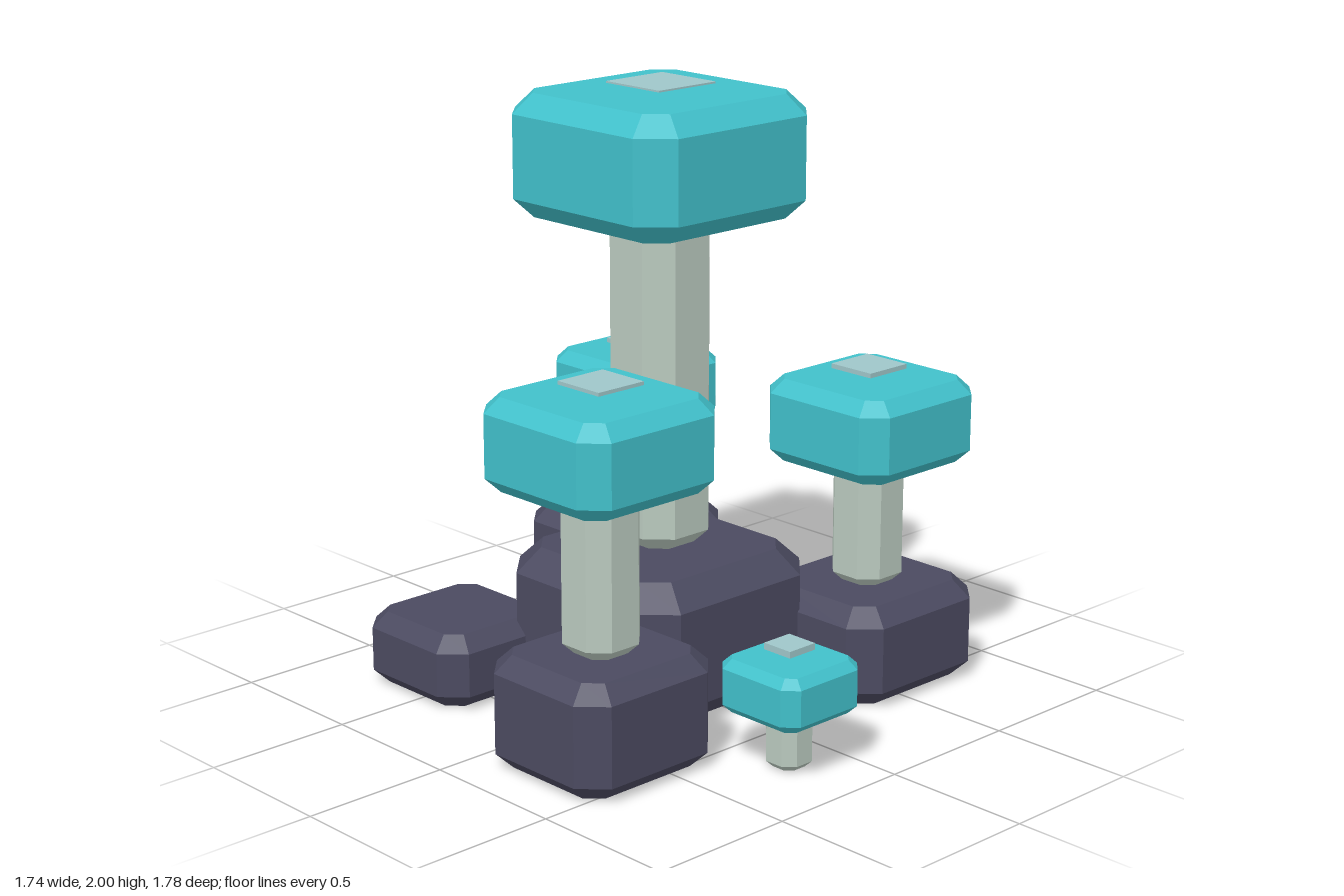
import * as THREE from 'three';

const material = (name, color) => {
  const m = new THREE.MeshStandardMaterial({ color });
  m.name = name;
  return m;
};

// Block with cut upright corners and bevelled top and bottom, standing on y = 0
function chamferedBlock(w, h, d, cut, bevel) {
  const x = w / 2, z = d / 2;
  const outline = new THREE.Shape([
    [x, -z + cut], [x, z - cut], [x - cut, z], [-x + cut, z],
    [-x, z - cut], [-x, -z + cut], [-x + cut, -z], [x - cut, -z],
  ].map(([a, b]) => new THREE.Vector2(a, b)));
  const geometry = new THREE.ExtrudeGeometry(outline, {
    depth: h - 2 * bevel, bevelEnabled: true, bevelSegments: 1,
    bevelThickness: bevel, bevelSize: bevel, bevelOffset: -bevel,
  });
  geometry.translate(0, 0, bevel);
  geometry.rotateX(-Math.PI / 2);
  return geometry;
}

export function createModel() {
  const model = new THREE.Group();
  model.name = 'mushroomCluster';
  const rock = material('slate', 0x4b4a60);
  const stalk = material('paleSage', 0xb9c9be);
  const teal = material('teal', 0x41c0ca);
  const pale = material('paleTeal', 0x9fc6c9);

  const add = (parent, name, geometry, mat, x, y, z) => {
    const mesh = new THREE.Mesh(geometry, mat);
    mesh.name = name;
    mesh.position.set(x, y, z);
    parent.add(mesh);
  };

  // Ground rocks: centre x, z, then width, height, depth
  const rocks = [
    ['centreRock', 0.005, -0.07, 0.785, 0.49, 0.78],
    ['leftRock', 0.567, 0.345, 0.60, 0.34, 0.56],
    ['rightRock', -0.593, 0.305, 0.566, 0.376, 0.53],
    ['backLeftRock', 0.38, -0.634, 0.56, 0.414, 0.52],
    ['backRightRock', -0.463, -0.54, 0.487, 0.25, 0.487],
  ];
  for (const [name, x, z, w, h, d] of rocks) {
    const s = Math.min(w, d);
    add(model, name, chamferedBlock(w, h, d, s * 0.155, s * 0.103), rock, x, 0, z);
  }

  // Mushrooms: centre x, z, stem foot, stem width, cap bottom, cap top, cap width, spot top
  const mushrooms = [
    ['tallMushroom', 0.043, -0.103, 0.49, 0.302, 1.59, 1.994, 0.76, 2.0],
    ['rightMushroom', -0.595, 0.305, 0.376, 0.224, 0.899, 1.2, 0.564, 1.212],
    ['leftMushroom', 0.569, 0.349, 0.336, 0.215, 0.756, 1.038, 0.535, 1.054],
    ['backMushroom', 0.423, -0.627, 0.41, 0.18, 0.727, 0.968, 0.452, 0.984],
    ['smallMushroom', -0.182, 0.719, 0, 0.135, 0.182, 0.359, 0.339, 0.381],
  ];
  for (const [name, x, z, foot, stemW, capY, capTop, capW, spotTop] of mushrooms) {
    const group = new THREE.Group();
    group.name = name;
    group.position.set(x, 0, z);
    model.add(group);
    // The stem tip sinks slightly into the cap
    const stemH = capY + stemW * 0.1 - foot;
    add(group, 'stem', chamferedBlock(stemW, stemH, stemW, stemW * 0.25, stemW * 0.16), stalk, 0, foot, 0);
    add(group, 'cap', chamferedBlock(capW, capTop - capY, capW, capW * 0.13, capW * 0.085), teal, 0, capY, 0);
    // Square spot on the cap, off centre towards the back left
    const spotH = spotTop - capTop;
    const spot = new THREE.BoxGeometry(capW * 0.33, spotH, capW * 0.33);
    add(group, 'capSpot', spot, pale, capW * 0.134, capTop + spotH / 2, -capW * 0.136);
  }
  return model;
}
